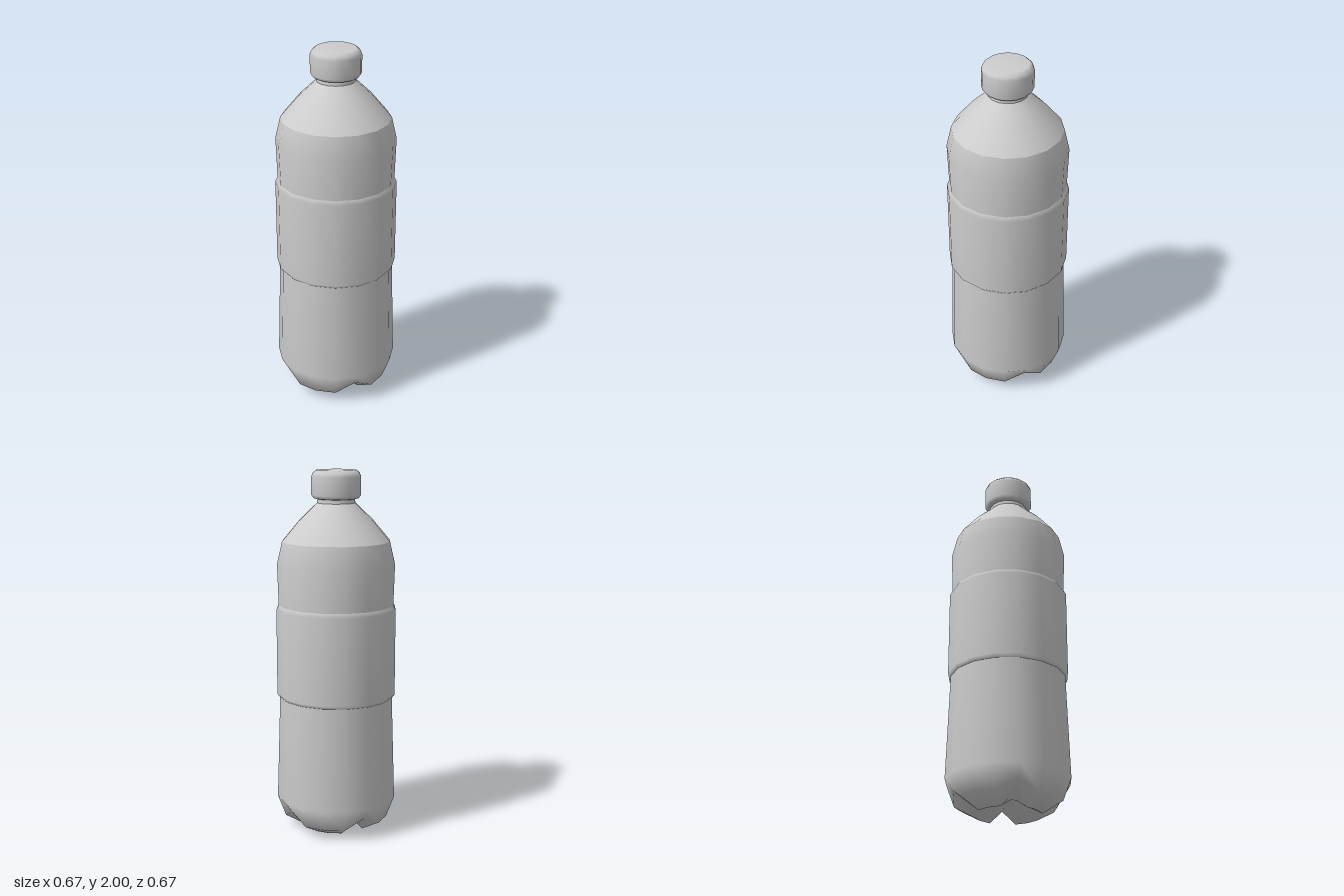
import * as THREE from 'three';
import { mergeVertices } from 'three/addons/utils/BufferGeometryUtils.js';

const SIDES = 16;

export function createModel() {
  const bottle = new THREE.Group();
  bottle.name = 'bottle';
  const gray = new THREE.MeshStandardMaterial({ color: 0xcccccc });
  gray.name = 'light gray';

  const turned = (profile) =>
    new THREE.LatheGeometry(profile.map(([r, y]) => new THREE.Vector2(r, y)), SIDES);

  const add = (name, geometry) => {
    const mesh = new THREE.Mesh(geometry, gray);
    mesh.name = name;
    bottle.add(mesh);
  };

  // Body, with four grooves at the bottom that leave a foot on each diagonal
  let body = turned([
    [0, 0.08], [0.08, 0.06], [0.18, 0], [0.29, 0.06], [0.335, 0.18],
    [0.316, 0.75], [0.318, 1.27], [0.325, 1.5], [0.297, 1.62],
  ]);
  const pos = body.attributes.position;
  for (let i = 0; i < pos.count; i++) {
    const x = pos.getX(i), y = pos.getY(i), z = pos.getZ(i);
    const r = Math.hypot(x, z);
    const inGroove = Math.min(Math.abs(x), Math.abs(z)) < 0.001;
    if (inGroove && y < 0.1 && r > 0.1) pos.setY(i, r < 0.2 ? 0.07 : 0.115);
  }
  body.deleteAttribute('normal');
  body.deleteAttribute('uv');
  body = mergeVertices(body, 1e-4);
  body.computeVertexNormals();
  add('body', body);

  // Label sleeve around the middle
  add('label', turned([[0.315, 0.755], [0.331, 0.775], [0.331, 1.25], [0.317, 1.275]]));

  // Shoulder, separate so its lower edge stays crisp
  add('shoulder', turned([[0.297, 1.62], [0.2, 1.735], [0.105, 1.825]]));

  // Neck and screw cap
  add('neck', turned([[0.105, 1.825], [0.102, 1.86]]));
  add('cap', turned([
    [0.1, 1.845], [0.122, 1.85], [0.136, 1.868], [0.136, 1.965],
    [0.128, 1.985], [0.11, 2], [0, 2],
  ]));

  return bottle;
}
